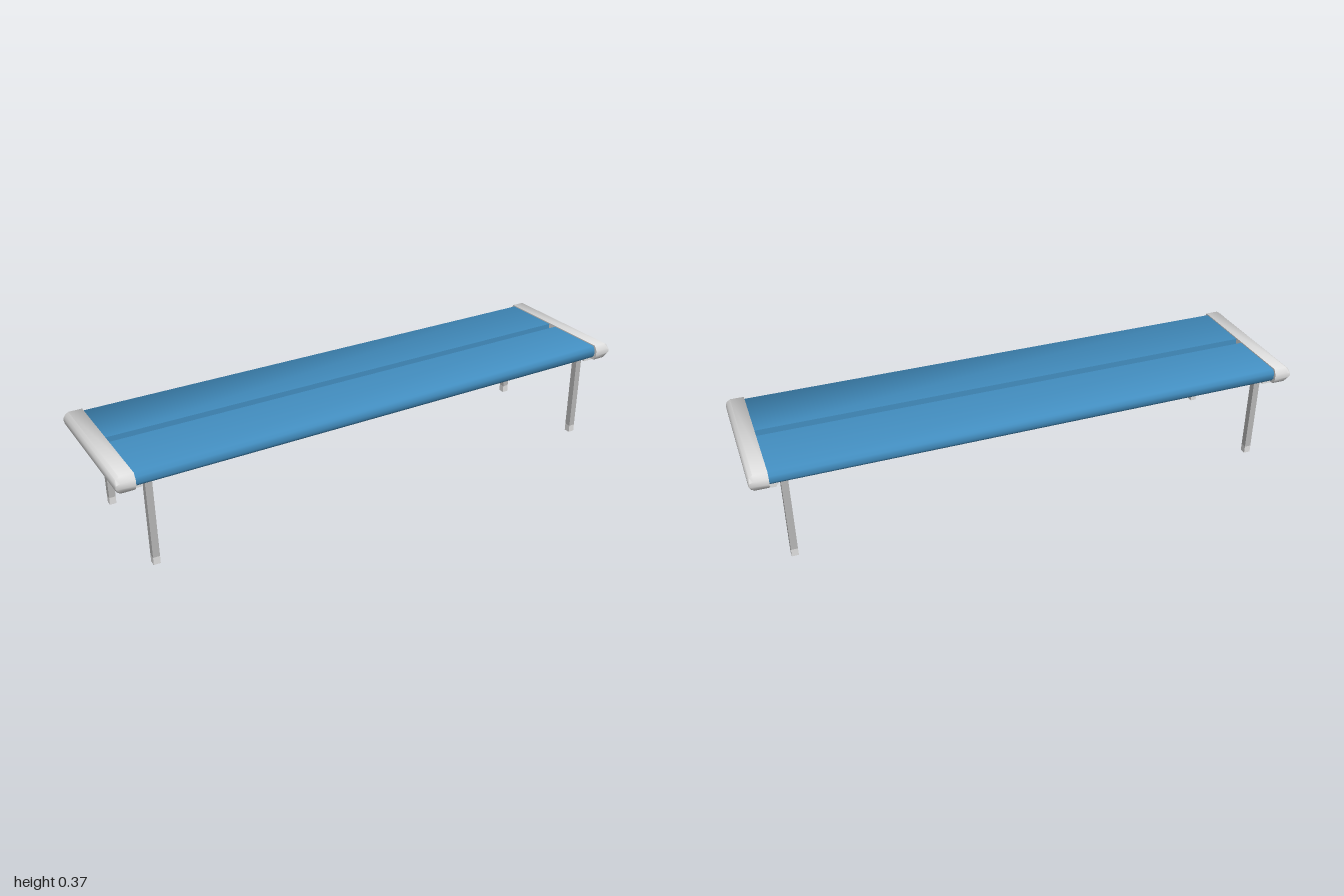
import * as THREE from 'three';
import { toCreasedNormals } from 'three/addons/utils/BufferGeometryUtils.js';

const mat = (name, color) => {
  const m = new THREE.MeshStandardMaterial({ color });
  m.name = name;
  return m;
};

const polygon = (pts) => new THREE.Shape(pts.map(([x, y]) => new THREE.Vector2(x, y)));

export function createModel() {
  const blue = mat('blue seat', 0x428dbf);
  const light = mat('light grey', 0xdedede);
  const grey = mat('leg grey', 0xb6b6b6);
  const bench = new THREE.Group();
  bench.name = 'bench';

  const add = (name, geometry, material, x = 0, y = 0, z = 0) => {
    const mesh = new THREE.Mesh(geometry, material);
    mesh.name = name;
    mesh.position.set(x, y, z);
    bench.add(mesh);
    return mesh;
  };

  // Seat slat: square inner edge, rounded outer edge, run along x
  const slatLength = 1.9;
  let slat = new THREE.ExtrudeGeometry(polygon([
    [0.0175, 0.322], [0.242, 0.322], [0.252, 0.334], [0.252, 0.357], [0.242, 0.37], [0.0175, 0.37],
  ]), { depth: slatLength, bevelEnabled: false });
  slat.translate(0, 0, -slatLength / 2).rotateY(Math.PI / 2);
  slat = toCreasedNormals(slat, 1.05);

  // End cap: rounded outer side, with its two ends squeezed to a chamfer
  let cap = new THREE.ExtrudeGeometry(polygon([
    [0.935, 0.314], [0.983, 0.314], [0.995, 0.322], [1, 0.334],
    [1, 0.355], [0.995, 0.366], [0.983, 0.374], [0.935, 0.374],
  ]), { depth: 3, steps: 3, bevelEnabled: false });
  const stations = [-0.262, -0.25, 0.25, 0.262];
  const p = cap.attributes.position;
  for (let i = 0; i < p.count; i++) {
    const k = Math.round(p.getZ(i));
    if (k === 0 || k === 3) p.setY(i, 0.344 + (p.getY(i) - 0.344) * 0.36);
    p.setZ(i, stations[k]);
  }
  cap = toCreasedNormals(cap, 1.05);

  const plate = new THREE.BoxGeometry(0.066, 0.016, 0.464);
  const leg = new THREE.BoxGeometry(0.024, 0.296, 0.024);
  const foot = new THREE.BoxGeometry(0.024, 0.028, 0.024);

  for (const side of [1, -1]) {
    const turn = side > 0 ? 0 : Math.PI;
    add(side > 0 ? 'backSlat' : 'frontSlat', slat, blue).rotation.y = turn;
    const name = side > 0 ? 'left' : 'right';
    add(name + 'EndCap', cap, light).rotation.y = turn;
    // Mounting plate under the slats
    add(name + 'MountingPlate', plate, light, side * 0.938, 0.315, 0);
    // Legs with pale feet
    for (const z of [0.2125, -0.2125]) {
      const end = z > 0 ? 'Front' : 'Back';
      add(name + end + 'Leg', leg, grey, side * 0.884, 0.176, z);
      add(name + end + 'Foot', foot, light, side * 0.884, 0.014, z);
    }
  }
  return bench;
}
